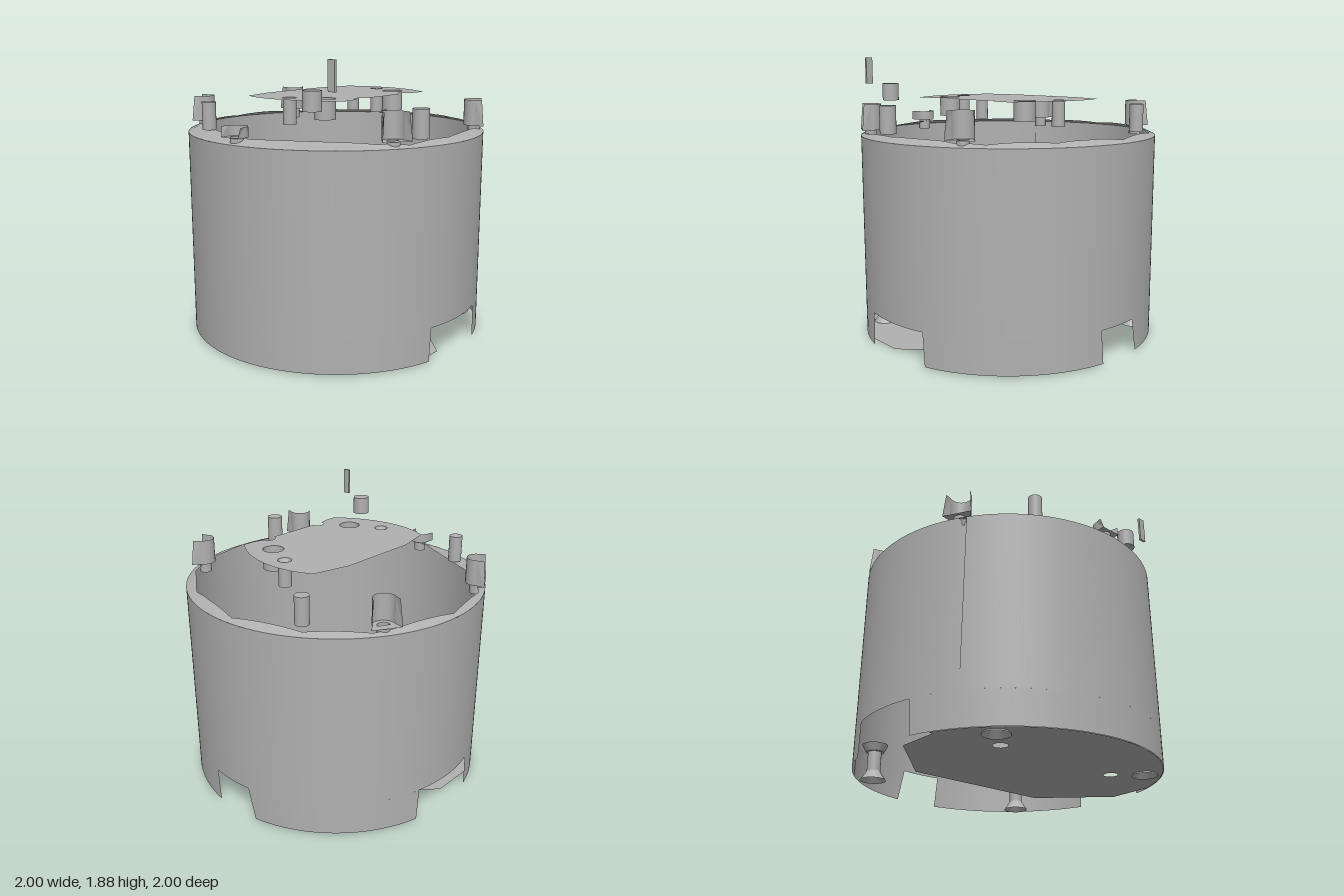
import * as THREE from 'three';

export function createModel() {
  const model = new THREE.Group();
  const grey = new THREE.MeshStandardMaterial({ color: 0xb0b0b0, side: THREE.DoubleSide });
  grey.name = 'plain grey';
  const rad = THREE.MathUtils.degToRad;

  const add = (name, geometry, parent = model) => {
    const mesh = new THREE.Mesh(geometry, grey);
    mesh.name = name;
    parent.add(mesh);
    return mesh;
  };
  // Upright tube between two heights
  const tube = (name, x, z, r, y0, y1, open = false, rTop = r, parent = model) => {
    const g = new THREE.CylinderGeometry(rTop, r, y1 - y0, 28, 1, open);
    return add(name, g.translate(x, (y0 + y1) / 2, z), parent);
  };
  // Flat sheet drawn in x and z
  const sheet = (name, shape, y, parent = model) =>
    add(name, new THREE.ShapeGeometry(shape, 24).rotateX(Math.PI / 2).translate(0, y, 0), parent);
  const hole = (shape, x, z, r) => shape.holes.push(new THREE.Path().absarc(x, z, r, 0, Math.PI * 2, true));
  // Open surface joining two equal rows of points
  const strip = (a, b) => {
    const position = [];
    for (let i = 0; i < a.length - 1; i++)
      for (const p of [a[i], b[i], a[i + 1], a[i + 1], b[i], b[i + 1]]) position.push(...p);
    const g = new THREE.BufferGeometry();
    g.setAttribute('position', new THREE.Float32BufferAttribute(position, 3));
    g.computeVertexNormals();
    return g;
  };

  // Main wall, with slits that narrow downwards
  const wall = new THREE.CylinderGeometry(1, 1, 1.14, 360, 1, true).translate(0, 0.80, 0);
  const p = wall.attributes.position;
  const slits = { 212: 0.05, 213: 0.05, 309: 0.02 };
  for (let i = 0; i < p.count; i++) {
    const angle = (Math.round(THREE.MathUtils.radToDeg(Math.atan2(p.getX(i), p.getZ(i)))) + 360) % 360;
    const k = p.getY(i) > 1 ? 1 - (slits[angle] || 0) : 1;
    p.setXYZ(i, p.getX(i) * k, p.getY(i), p.getZ(i) * k);
  }
  add('wall', wall);

  // Lower wall arcs between the three notches: upper angles, then lower angles
  for (const [a, b, a0, b0] of [[14.8, 81.3, 15.6, 82.4], [98.6, 165.2, 101.5, 164.4], [194.8, 345.2, 195.6, 344.4]]) {
    const top = [], bottom = [];
    const steps = 64;
    const g = new THREE.CylinderGeometry(1, 1, 0.22, steps, 1, true, rad(a), rad(b - a)).translate(0, 0.12, 0);
    const q = g.attributes.position;
    for (let i = 0; i <= steps; i++) {
      const t = rad(a0 + (b0 - a0) * i / steps);
      q.setXYZ(steps + 1 + i, Math.sin(t), 0.01, Math.cos(t));
    }
    add('lowerWall', g);
  }

  // Uneven sloping rim
  const inner = [
    [0, -0.97], [0.42, -0.86], [0.55, -0.80], [0.82, -0.50], [0.96, -0.05], [0.85, 0.42], [0.60, 0.75],
    [0.42, 0.85], [-0.06, 0.935], [-0.40, 0.88], [-0.57, 0.75], [-0.90, 0.08], [-0.90, -0.08],
    [-0.57, -0.75], [-0.38, -0.89], [0, -0.97]];
  const innerRow = [], outerRow = [];
  for (let i = 0; i < inner.length - 1; i++)
    for (let s = 0; s <= 10; s++) {
      const x = THREE.MathUtils.lerp(inner[i][0], inner[i + 1][0], s / 10);
      const z = THREE.MathUtils.lerp(inner[i][1], inner[i + 1][1], s / 10);
      const r = Math.hypot(x, z);
      innerRow.push([x, 1.37 + 0.03 * Math.min(1, (1 - r) / 0.07), z]);
      outerRow.push([x / r, 1.37, z / r]);
    }
  add('rim', strip(innerRow, outerRow));

  // Partial floor
  const floor = new THREE.Shape();
  floor.moveTo(-0.10, -0.89);
  floor.lineTo(0.30, -0.52);
  floor.lineTo(0.30, 0.52);
  floor.lineTo(-0.10, 0.92);
  floor.lineTo(-0.40, 0.905);
  floor.absarc(0, 0, 0.995, rad(114), rad(247), false);
  floor.lineTo(-0.38, -0.89);
  for (const s of [-1, 1]) {
    hole(floor, -0.47, s * 0.47, 0.045);
    hole(floor, -0.62, s * 0.63, 0.08);
  }
  sheet('floor', floor, 0.01);

  // Countersunk screw sockets at the base
  for (const x of [-0.62, 0.63])
    for (const z of [-0.63, 0.63]) {
      tube('screwCone', x, z, 0.085, 0, 0.06, true, 0.045);
      tube('screwSleeve', x, z, 0.045, 0.06, 0.19, true);
      tube('screwCollar', x, z, 0.06, 0.19, 0.24, false, 0.085);
    }

  // Raised cover with curved ends and two small front notches
  const cover = new THREE.Shape();
  cover.moveTo(-0.53, -0.31);
  cover.lineTo(-0.28, -0.37);
  cover.lineTo(0.28, -0.37);
  cover.lineTo(0.53, -0.31);
  cover.bezierCurveTo(0.64, -0.12, 0.64, 0.16, 0.44, 0.42);
  cover.lineTo(0.36, 0.42);
  cover.lineTo(0.28, 0.40);
  cover.absarc(0.235, 0.40, 0.045, 0, Math.PI, true);
  cover.lineTo(-0.19, 0.40);
  cover.absarc(-0.235, 0.40, 0.045, 0, Math.PI, true);
  cover.lineTo(-0.36, 0.42);
  cover.lineTo(-0.44, 0.42);
  cover.bezierCurveTo(-0.64, 0.16, -0.64, -0.12, -0.53, -0.31);
  for (const s of [-1, 1]) {
    hole(cover, s * 0.37, 0.21, 0.07);
    hole(cover, s * 0.47, 0, 0.045);
    // Cups hanging under the cover
    tube('cupWall', s * 0.37, 0.21, 0.07, 1.48, 1.61, true);
    add('cupBase', new THREE.CircleGeometry(0.07, 28).rotateX(-Math.PI / 2).translate(s * 0.37, 1.48, 0.21));
    tube('coverSleeve', s * 0.47, 0, 0.043, 1.44, 1.61, true);
    tube('coverCountersink', s * 0.47, 0, 0.012, 1.54, 1.61, true, 0.045);
  }
  sheet('cover', cover, 1.61);

  // Clips around the rim: local +z points outwards
  const clip = (x, z, top, wing) => {
    const g = new THREE.Group();
    g.name = 'clip';
    const r = 0.07;
    const base = new THREE.Shape();
    base.absarc(0, 0, r, Math.PI, Math.PI * 2, false);
    base.lineTo(wing, 0.06);
    base.lineTo(-wing, 0.06);
    hole(base, 0, 0, 0.04);
    sheet('clipBase', base, 1.41, g);
    add('clipBack', new THREE.CylinderGeometry(r, r, top - 1.41, 20, 1, true, Math.PI / 2, Math.PI)
      .translate(0, (top + 1.41) / 2, 0), g);
    for (const s of [-1, 1])
      add('clipWing', strip([[s * r, 1.41, 0], [s * r, top, 0]],
        [[s * wing, 1.41, 0.06], [s * (r + 0.01), top, 0.045]]), g);
    tube('clipPost', 0, 0, 0.04, 1.34, 1.41, true, 0.04, g);
    g.position.set(x, 0, z);
    g.rotation.y = Math.atan2(x, z);
    model.add(g);
  };
  for (const x of [-0.47, 0.47])
    for (const z of [-0.81, 0.81]) clip(x, z, 1.58, 0.095);
  clip(-0.94, 0, 1.475, 0.07);

  // Loose pins above the rim
  tube('pin', 0.76, -0.44, 0.045, 1.40, 1.58);
  tube('pin', -0.76, -0.44, 0.045, 1.40, 1.58);
  tube('pin', -0.23, 0.84, 0.053, 1.40, 1.58);
  tube('pin', -0.76, 0.44, 0.057, 1.58, 1.70);
  add('strip', new THREE.BoxGeometry(0.015, 0.18, 0.05).translate(-0.78, 1.79, 0.605));

  return model;
}
